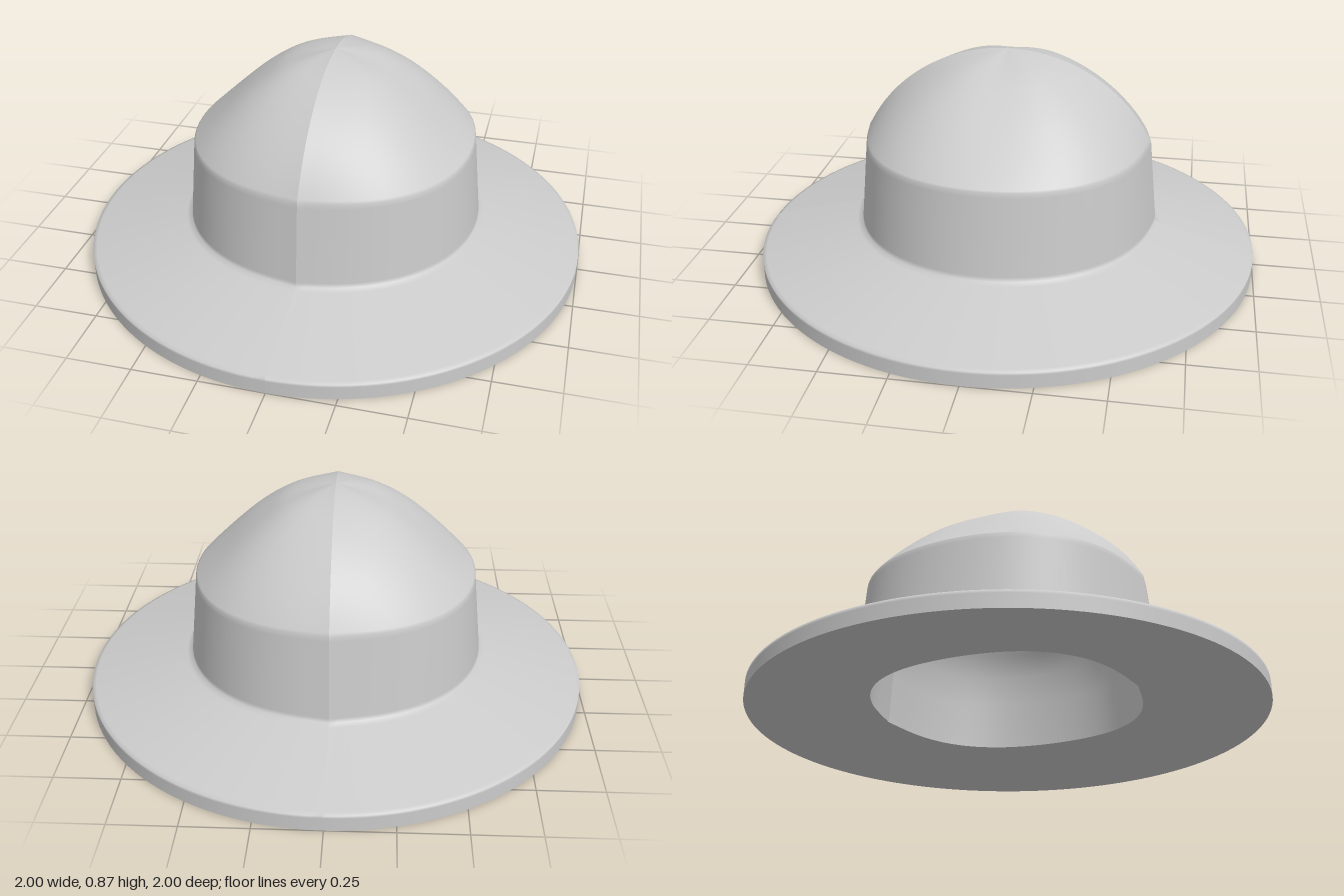
import * as THREE from 'three';

const COLUMNS = 64;
const material = new THREE.MeshStandardMaterial({ color: 0xcccccc });

// Plan of the crown: pinched to a point at front and back, full at the diagonals
const plan = (a, bulge) => 1 + 0.029 * Math.exp(-Math.min(a, Math.PI - a) / 0.15)
  + bulge * Math.sin(2 * a) ** 2;

// Ring makers: each maps an angle to [radius, height]
const circle = (r, y) => () => [r, y];
const crownRing = (r, y, bulge) => (a) => [r * plan(a, bulge), y];

// Cross profile of the dome, sampled by fraction of radius
const cross = new THREE.SplineCurve([
  [0, 0.865], [0.18, 0.838], [0.36, 0.8], [0.5, 0.75], [0.65, 0.685], [0.8, 0.61], [1, 0.51],
].map(([s, y]) => new THREE.Vector2(s, y)));

// Dome ring: round along the ridge, sloping away to both sides of it
function domeRing(t, radius, drop, bulge) {
  const { x: s, y: low } = cross.getPoint(t);
  const round = 0.23 + Math.sqrt(0.635 ** 2 - (0.57 * s) ** 2);
  return (a) => {
    const side = Math.sin(a) * (1 - 0.25 * Math.sin(2 * a) ** 2);
    return [s * radius * plan(a, bulge), THREE.MathUtils.lerp(round, low, side) - drop];
  };
}

// Dome rings from the fraction `start` up to the apex
function domeRings(start, radius, drop, bulge) {
  const steps = 24;
  return Array.from({ length: steps + 1 },
    (_, i) => domeRing(start * (1 - i / steps), radius, drop, bulge));
}

// Half sheet (x >= 0) through a list of rings, smooth inside, sharp at the ridge
function halfSheet(rings) {
  const positions = [], index = [], n = COLUMNS + 1;
  rings.forEach((ring, i) => {
    for (let j = 0; j < n; j++) {
      const a = (j / COLUMNS) * Math.PI;
      const [r, y] = ring(a);
      positions.push(r * Math.sin(a), y, r * Math.cos(a));
      if (i && j) {
        const d = i * n + j - 1, c = d + 1, p = d - n, q = c - n;
        index.push(p, q, c, p, c, d);
      }
    }
  });
  const geometry = new THREE.BufferGeometry();
  geometry.setAttribute('position', new THREE.Float32BufferAttribute(positions, 3));
  geometry.setIndex(index);
  geometry.computeVertexNormals();
  return geometry;
}

// The two halves match under a half turn
function part(name, rings) {
  const group = new THREE.Group();
  group.name = name;
  const geometry = halfSheet(rings);
  for (const side of ['left', 'right']) {
    const mesh = new THREE.Mesh(geometry, material);
    mesh.name = `${side}Half`;
    if (side === 'right') mesh.rotation.y = Math.PI;
    group.add(mesh);
  }
  return group;
}

export function createModel() {
  const hat = new THREE.Group();
  hat.name = 'hat';

  // Outside: rim band, brim, crown wall and dome in one smooth sheet
  hat.add(part('brimAndCrown', [
    circle(1, 0), circle(1, 0.052), circle(1, 0.063), circle(0.985, 0.067),
    crownRing(0.61, 0.16, 0.012), crownRing(0.588, 0.167, 0.012),
    crownRing(0.586, 0.185, 0.013),
    crownRing(0.556, 0.49, 0.03), crownRing(0.554, 0.51, 0.03),
    ...domeRings(0.985, 0.554, 0, 0.03),
  ]));

  // Inside: underside of the brim, then the rounded hollow of the crown
  hat.add(part('brimUnderside', [crownRing(0.51, 0.06, 0.055), circle(1, 0)]));
  hat.add(part('crownLining', [
    crownRing(0.51, 0.06, 0.055), crownRing(0.5, 0.25, 0.055),
    crownRing(0.485, 0.37, 0.055), crownRing(0.455, 0.46, 0.055),
    ...domeRings(0.8, 0.5, 0.06, 0.05),
  ].reverse()));

  return hat;
}
